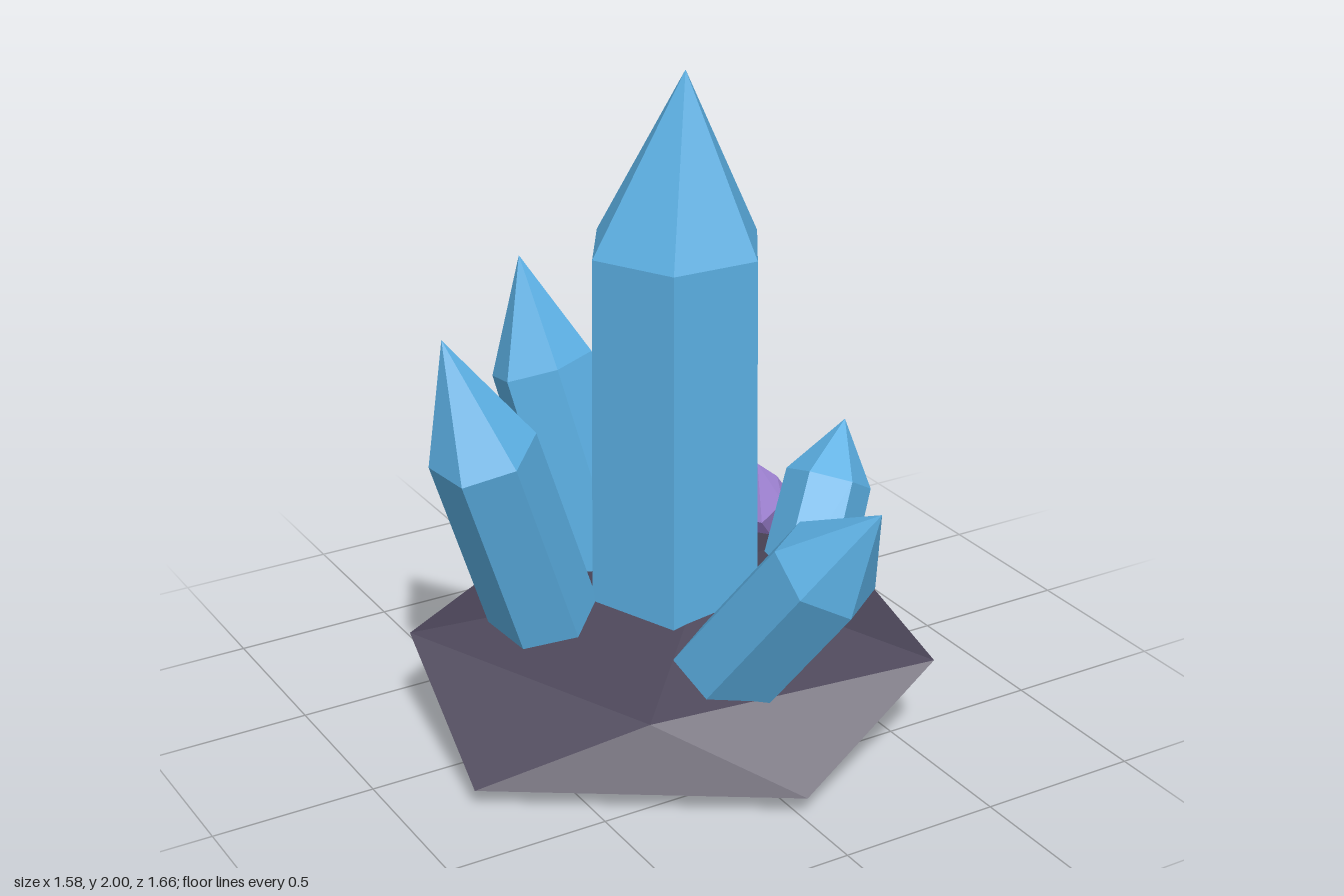
import * as THREE from 'three';

const V = (p) => new THREE.Vector3(...p);

// Flat-faced geometry from a list of triangle corners
function facets(points) {
  const g = new THREE.BufferGeometry().setFromPoints(points);
  g.computeVertexNormals();
  return g;
}

// Six-sided prism along a leaning axis, closed at the base and ending in an off-centre point
function crystalGeometry({ base, shoulder, tip, r0, r1, twist }) {
  const b = V(base), s = V(shoulder), t = V(tip);
  const axis = s.clone().sub(b).normalize();
  const u = new THREE.Vector3(1, 0, 0).addScaledVector(axis, -axis.x).normalize();
  const v = axis.clone().cross(u);
  const corner = (c, r, i) => {
    const a = THREE.MathUtils.degToRad(twist + 60 * i);
    return c.clone().addScaledVector(u, r * Math.cos(a)).addScaledVector(v, r * Math.sin(a));
  };
  const pts = [];
  for (let i = 0; i < 6; i++) {
    const a0 = corner(b, r0, i), a1 = corner(b, r0, i + 1);
    const b0 = corner(s, r1, i), b1 = corner(s, r1, i + 1);
    pts.push(a0, a1, b1, a0, b1, b0, b0, b1, t, b, a1, a0);
  }
  return facets(pts);
}

// Rough twenty-faced boulder: two staggered rings of five between two poles
function rockGeometry() {
  const top = V([0.1, 0.44, 0.05]), bottom = V([0.06, 0, -0.05]);
  const upper = [[0.785, 0.285, -0.32], [0.12, 0.285, -0.83], [-0.725, 0.305, -0.3],
    [-0.32, 0.24, 0.45], [0.535, 0.31, 0.655]].map(V);
  const lower = [[0.65, 0.06, -0.83], [-0.32, 0.07, -0.65], [-0.79, 0.06, 0.25],
    [0.01, 0.065, 0.78], [0.735, 0.07, 0.15]].map(V);
  const pts = [];
  for (let i = 0; i < 5; i++) {
    const j = (i + 1) % 5;
    pts.push(top, upper[i], upper[j], upper[i], lower[i], upper[j],
      lower[i], lower[j], upper[j], bottom, lower[j], lower[i]);
  }
  return facets(pts);
}

export function createModel() {
  const group = new THREE.Group();
  const material = (name, color) => {
    const m = new THREE.MeshStandardMaterial({ color, flatShading: true });
    m.name = name;
    return m;
  };
  const stone = material('dark stone', 0x4a4457);
  const blue = material('blue crystal', 0x5aade0);
  const purple = material('purple crystal', 0xa98be0);

  const add = (name, geometry, mat) => {
    const mesh = new THREE.Mesh(geometry, mat);
    mesh.name = name;
    group.add(mesh);
  };

  add('rockBase', rockGeometry(), stone);

  // Crystals growing out of the rock
  const crystals = [
    { name: 'mainCrystal', base: [0.07, 0.2, -0.06], shoulder: [0.068, 1.48, -0.06],
      tip: [0.105, 2, -0.07], r0: 0.292, r1: 0.275, twist: -2 },
    { name: 'rightCrystal', base: [-0.3, 0.2, -0.15], shoulder: [-0.58, 0.97, -0.06],
      tip: [-0.66, 1.3, -0.14], r0: 0.168, r1: 0.163, twist: 40 },
    { name: 'backCrystal', base: [0.02, 0.2, -0.345], shoulder: [-0.12, 0.97, -0.56],
      tip: [-0.14, 1.3, -0.66], r0: 0.17, r1: 0.165, twist: 20 },
    { name: 'frontCrystal', base: [-0.035, 0.12, 0.24], shoulder: [0.125, 0.72, 0.67],
      tip: [0.2, 0.94, 0.83], r0: 0.17, r1: 0.165, twist: 30 },
    { name: 'leftCrystal', base: [0.48, 0.2, 0], shoulder: [0.665, 0.57, -0.11],
      tip: [0.76, 0.735, -0.165], r0: 0.145, r1: 0.138, twist: 30 },
    { name: 'smallPurpleCrystal', base: [0.69, 0.26, -0.44], shoulder: [0.52, 0.46, -0.31],
      tip: [0.495, 0.6, -0.265], r0: 0.097, r1: 0.095, twist: 15, mat: purple },
  ];
  for (const c of crystals) add(c.name, crystalGeometry(c), c.mat ?? blue);

  return group;
}
